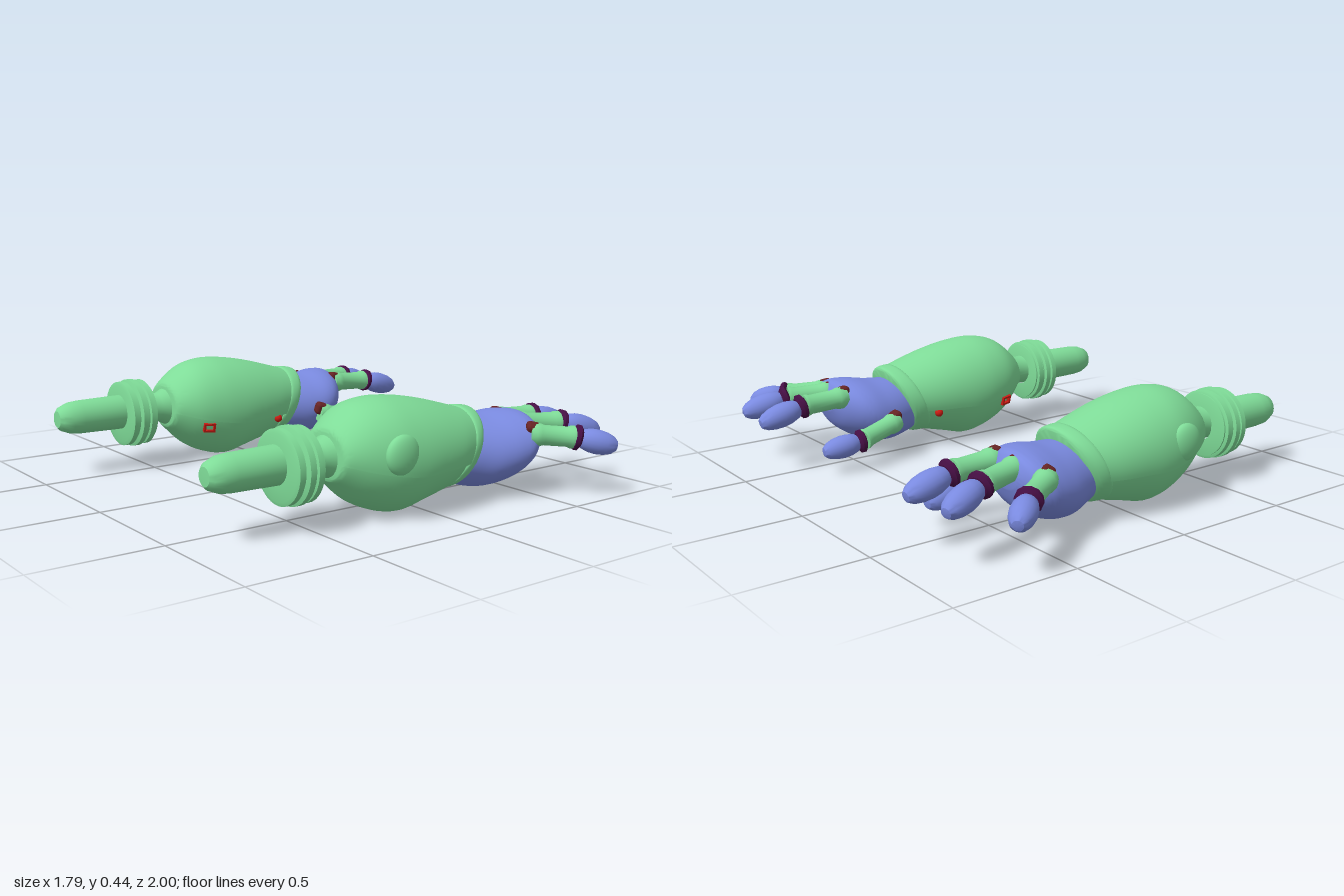
import * as THREE from 'three';
import { toCreasedNormals } from 'three/addons/utils/BufferGeometryUtils.js';
import { RoundedBoxGeometry } from 'three/addons/geometries/RoundedBoxGeometry.js';

const paint = (color) => new THREE.MeshStandardMaterial({ color });
const green = paint(0x7fdc98), blue = paint(0x7a8ae0), brown = paint(0x662424);
const plum = paint(0x470f45), red = paint(0xcc1c14);

function mesh(name, geometry, material, position) {
  const m = new THREE.Mesh(geometry, material);
  m.name = name;
  if (position) m.position.set(...position);
  return m;
}

// Smooth interpolation of a table of cross-sections
function spline(rows, t) {
  const f = t * (rows.length - 1), i = Math.min(Math.floor(f), rows.length - 2), u = f - i;
  const at = (k) => rows[Math.max(0, Math.min(rows.length - 1, k))];
  return rows[0].map((_, c) => {
    const a = at(i - 1)[c], b = at(i)[c], d = at(i + 1)[c], e = at(i + 2)[c];
    return b + 0.5 * u * (d - a + u * (2 * a - 5 * b + 4 * d - e + u * (3 * (b - d) + e - a)));
  });
}

// Skin over cross-sections along x: [x, top, bottom, zMin, zMax, lean]
function loft(rows, { steps = 40, sides = 48, arc = Math.PI, width = 1, crease = 0.7 } = {}) {
  const pos = [], index = [], full = arc === Math.PI;
  for (let i = 0; i <= steps; i++) {
    const [x, top, bottom, z0, z1, lean] = spline(rows, i / steps);
    const yc = (top + bottom) / 2, h = (top - bottom) / 2;
    for (let j = 0; j < sides; j++) {
      const a = -arc + (2 * arc * j) / (full ? sides : sides - 1);
      const dy = h * Math.cos(a);
      pos.push(x + lean * dy, yc + dy, (z0 + z1) / 2 + ((z1 - z0) / 2) * width * Math.sin(a));
    }
  }
  for (let i = 0; i < steps; i++) for (let j = 0; j < sides; j++) {
    const a = i * sides + j, b = i * sides + (j + 1) % sides;
    index.push(a, b, a + sides, b, b + sides, a + sides);
  }
  // End caps
  for (const i of [0, steps]) {
    const [x, top, bottom, z0, z1] = spline(rows, i / steps), c = pos.length / 3;
    pos.push(x, (top + bottom) / 2, (z0 + z1) / 2);
    for (let j = 0; j < sides; j++) {
      const a = i * sides + j, b = i * sides + (j + 1) % sides;
      if (i) index.push(c, a, b); else index.push(c, b, a);
    }
  }
  const g = new THREE.BufferGeometry();
  g.setAttribute('position', new THREE.Float32BufferAttribute(pos, 3));
  g.setIndex(index);
  return toCreasedNormals(g, crease);
}

// Turned part from [radius, distance] pairs along +y
const turned = (pts, sides = 32) =>
  toCreasedNormals(new THREE.LatheGeometry(pts.map((p) => new THREE.Vector2(...p)), sides), 0.6);

function createFinger(name, base, joint, tip, radius) {
  const finger = new THREE.Group();
  finger.name = name;
  const [b, j, t] = [base, joint, tip].map((p) => new THREE.Vector3(...p));
  const up = new THREE.Vector3(0, 1, 0);
  const place = (m, from, to) => {
    m.position.copy(from);
    m.quaternion.setFromUnitVectors(up, to.clone().sub(from).normalize());
    finger.add(m);
  };
  const L = b.distanceTo(j), T = j.distanceTo(t), r = radius;
  // Knuckle lump
  const knuckle = mesh('knuckle', new RoundedBoxGeometry(0.055, 0.055, 0.05, 2, 0.016), brown);
  place(knuckle, b.clone().add(new THREE.Vector3(0, 0.02, 0)), j);
  // Sleeve with slightly flared ends
  place(mesh('fingerSleeve', turned([[0, -0.01], [r, -0.01], [r * 1.12, 0.01], [r * 1.1, 0.03], [r * 0.98, 0.045],
    [r * 0.98, L - 0.04], [r * 1.1, L - 0.025], [r * 1.1, L - 0.012], [0, L - 0.012]], 20), green), b, j);
  // Hinge
  const hinge = mesh('fingerHinge', turned([[0, -0.014], [r * 0.95, -0.014], [r * 1.25, -0.006], [r * 1.25, 0.008],
    [r * 0.9, 0.018], [0, 0.018]], 12), plum);
  place(hinge, j, t);
  // Fingertip pod
  const profile = [[0, 0.04], [0.6, 0.05], [0.95, 0.15], [1.15, 0.32], [1.2, 0.5], [1.1, 0.7], [0.85, 0.87], [0.5, 0.97], [0, 1]];
  place(mesh('fingertip', turned(profile.map(([x, y]) => [x * r, y * T]), 20), blue), j, t);
  return finger;
}

function createArm() {
  const arm = new THREE.Group();
  const alongX = (m) => { m.rotation.z = -Math.PI / 2; arm.add(m); };

  // Shaft with blunt tip, running into the forearm
  alongX(mesh('shaft', turned([[0, -0.9], [0.035, -0.898], [0.05, -0.885], [0.066, -0.845], [0.07, -0.8], [0.073, -0.6],
    [0.066, -0.5], [0.062, -0.43], [0.078, -0.4], [0.078, -0.3]]), green, [0, 0.25, 0.595]));

  // Collar of three ribs
  const ribs = [[0.06, -0.612]];
  for (const [x, r] of [[-0.61, 0.138], [-0.57, 0.145], [-0.53, 0.14]])
    ribs.push([r - 0.015, x], [r, x + 0.005], [r, x + 0.028], [r - 0.012, x + 0.033], [r - 0.012, x + 0.039]);
  ribs.push([0.06, -0.488]);
  alongX(mesh('collar', turned(ribs, 40), green, [0, 0.24, 0.6]));

  // Forearm: narrower lower body under an overlapping upper shell
  const forearm = [
    [-0.398, 0.33, 0.17, 0.5, 0.69, 0], [-0.385, 0.36, 0.15, 0.465, 0.725, 0], [-0.3, 0.425, 0.07, 0.41, 0.775, 0],
    [-0.2, 0.448, 0.022, 0.385, 0.81, 0], [-0.1, 0.442, 0.006, 0.38, 0.82, 0.05], [0, 0.42, 0.025, 0.39, 0.815, 0.15],
    [0.1, 0.388, 0.045, 0.41, 0.8, 0.28], [0.18, 0.362, 0.062, 0.435, 0.775, 0.38],
  ];
  arm.add(mesh('forearmBody', loft(forearm, { width: 0.95 }), green));
  arm.add(mesh('forearmShell', loft(forearm, { arc: 1.8, width: 1.01 }), green));

  // Leaning wrist cuff
  arm.add(mesh('wristCuff', loft([
    [0.155, 0.358, 0.075, 0.44, 0.77, 0.42], [0.165, 0.369, 0.06, 0.428, 0.782, 0.42], [0.2, 0.367, 0.058, 0.432, 0.775, 0.42],
    [0.222, 0.362, 0.06, 0.442, 0.758, 0.42], [0.232, 0.35, 0.075, 0.455, 0.745, 0.42],
  ], { steps: 12 }), green));

  // Outer elbow boss
  const boss = mesh('elbowBoss', new THREE.SphereGeometry(0.075, 24, 16), green, [-0.2, 0.265, 0.795]);
  boss.scale.z = 0.45;
  arm.add(boss);

  // Inner port and button
  const frame = new THREE.Shape([[-0.026, -0.02], [0.026, -0.02], [0.026, 0.02], [-0.026, 0.02]].map((p) => new THREE.Vector2(...p)));
  frame.holes.push(new THREE.Path([[-0.017, -0.011], [-0.017, 0.011], [0.017, 0.011], [0.017, -0.011]].map((p) => new THREE.Vector2(...p))));
  const port = mesh('port', new THREE.ExtrudeGeometry(frame, { depth: 0.03, bevelEnabled: false }), red, [-0.27, 0.165, 0.412]);
  port.rotation.set(-0.25, 0.25, 0);
  arm.add(port);
  arm.add(mesh('button', new THREE.SphereGeometry(0.018, 16, 12), red, [0.1, 0.165, 0.425]));

  // Palm
  arm.add(mesh('palm', loft([
    [0.15, 0.31, 0.09, 0.48, 0.73, 0.3], [0.24, 0.315, 0.06, 0.45, 0.765, 0.25], [0.32, 0.32, 0.042, 0.43, 0.8, 0.2],
    [0.4, 0.332, 0.052, 0.425, 0.822, 0.15], [0.46, 0.334, 0.085, 0.45, 0.825, 0.1], [0.51, 0.325, 0.13, 0.51, 0.79, 0.05],
    [0.54, 0.29, 0.2, 0.585, 0.72, 0],
  ], { crease: 1 }), blue));

  // Fingers and thumb
  arm.add(createFinger('indexFinger', [0.51, 0.275, 0.55], [0.705, 0.265, 0.555], [0.895, 0.215, 0.562], 0.042));
  arm.add(createFinger('middleFinger', [0.505, 0.275, 0.67], [0.695, 0.265, 0.725], [0.875, 0.215, 0.775], 0.042));
  arm.add(createFinger('littleFinger', [0.465, 0.255, 0.79], [0.615, 0.24, 0.885], [0.74, 0.205, 0.985], 0.041));
  arm.add(createFinger('thumb', [0.335, 0.165, 0.415], [0.53, 0.125, 0.37], [0.7, 0.1, 0.39], 0.04));
  return arm;
}

// Mirrored copy across z = 0, with corner order restored
function mirrored(arm) {
  const copy = new THREE.Group(), flip = new THREE.Matrix4().makeScale(1, 1, -1);
  arm.updateMatrixWorld(true);
  arm.traverse((m) => {
    if (!m.isMesh) return;
    const g = m.geometry.clone().applyMatrix4(flip.clone().multiply(m.matrixWorld));
    const ids = g.index ? [...g.index.array] : Array.from({ length: g.attributes.position.count }, (_, i) => i);
    for (let i = 0; i < ids.length; i += 3) [ids[i + 1], ids[i + 2]] = [ids[i + 2], ids[i + 1]];
    g.setIndex(ids);
    copy.add(mesh(m.name, g, m.material));
  });
  return copy;
}

export function createModel() {
  const model = new THREE.Group();
  model.name = 'armPair';
  const front = createArm();
  front.name = 'frontArm';
  const back = mirrored(front);
  back.name = 'backArm';
  model.add(front, back);
  return model;
}
